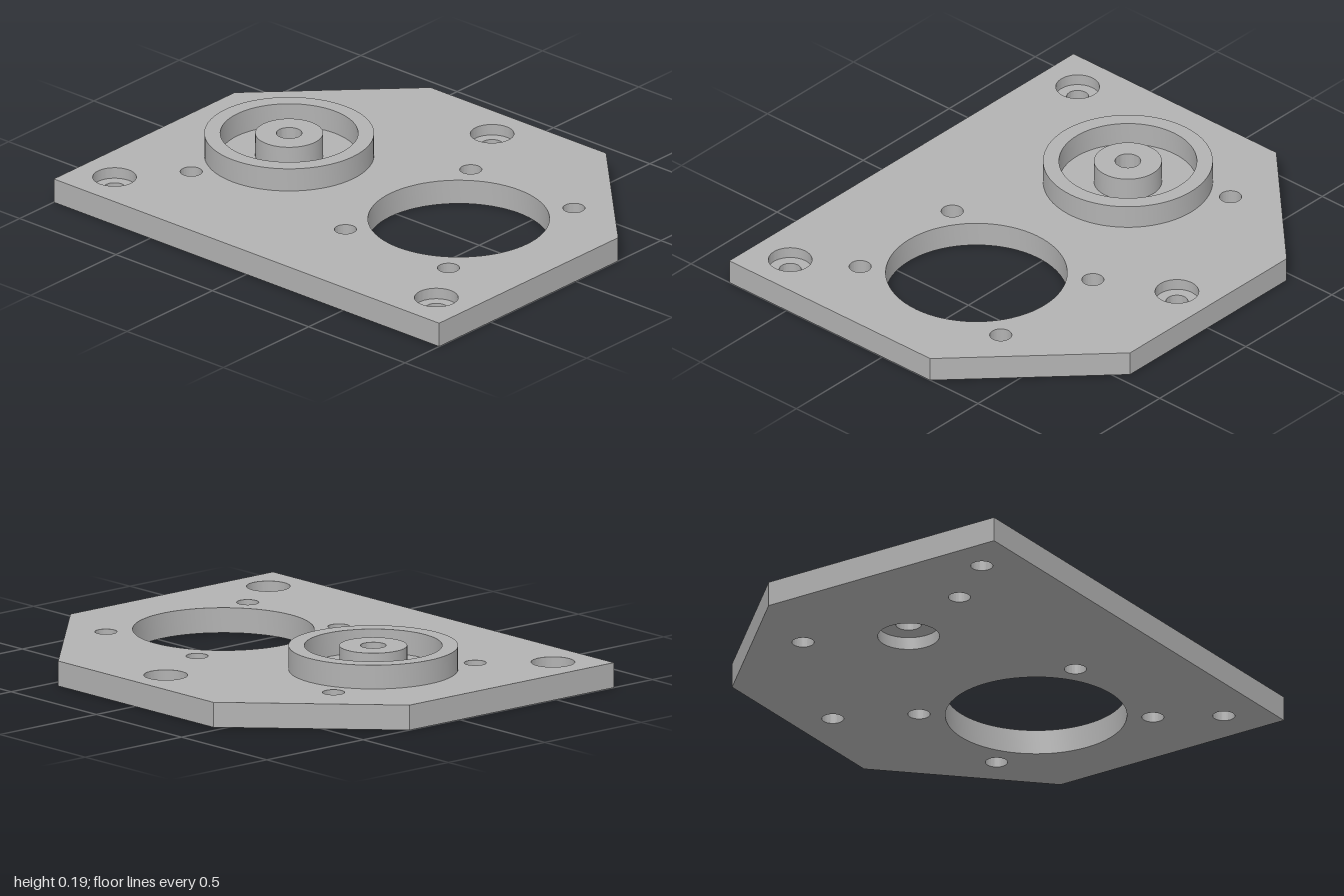
import * as THREE from 'three';
import { toCreasedNormals } from 'three/addons/utils/BufferGeometryUtils.js';

const THICK = 0.1;      // plate thickness
const TOP = 0.195;      // top of the bearing hub
const HUB = { x: -0.46, z: 0.03, r: 0.33 };
const BORES = [[0, -0.64], [-0.835, 0.63], [0.835, 0.63]];
const BORE_R = 0.085;
const HOLE_R = 0.043;

export function createModel() {
  const group = new THREE.Group();
  const metal = new THREE.MeshStandardMaterial({ color: 0xb2b2b2 });
  metal.name = 'plain grey';

  const add = (name, geometry, x = 0, z = 0) => {
    const mesh = new THREE.Mesh(toCreasedNormals(geometry, 0.6), metal);
    mesh.name = name;
    mesh.position.set(x, 0, z);
    group.add(mesh);
  };

  // Closed [radius, height] profile turned around the vertical axis
  const turned = (profile) => new THREE.LatheGeometry(
    [...profile, profile[0]].map(([r, y]) => new THREE.Vector2(r, y)), 72);

  // Base plate: square front, chamfered back corners, through holes
  const outline = [[-1, 0.8], [1, 0.8], [1, -0.25], [0.45, -0.8], [-0.46, -0.8], [-1, -0.26]];
  const shape = new THREE.Shape(outline.map(([x, z]) => new THREE.Vector2(x, -z)));
  const cut = (x, z, r) =>
    shape.holes.push(new THREE.Path().absarc(x, -z, r, 0, Math.PI * 2, true));

  cut(0.42, 0.03, 0.353);
  cut(HUB.x, HUB.z, HUB.r);
  for (const x of [-0.645, 0.155, 0.69]) {
    for (const z of [-0.34, 0.395]) cut(x, z, HOLE_R);
  }
  for (const [x, z] of BORES) cut(x, z, BORE_R);

  const plate = new THREE.ExtrudeGeometry(shape, { depth: THICK, bevelEnabled: false, curveSegments: 36 });
  plate.rotateX(-Math.PI / 2);
  add('basePlate', plate);

  // Stepped seats that narrow each counterbore to its screw hole
  for (const [x, z] of BORES) {
    add('counterboreSeat', turned([
      [HOLE_R, 0], [BORE_R, 0], [BORE_R, 0.055], [HOLE_R, 0.055],
    ]), x, z);
  }

  // Hub: raised rim, groove, centre boss with bore, and a pocket underneath
  add('bearingHub', turned([
    [0.12, 0], [HUB.r, 0], [HUB.r, TOP], [0.268, TOP], [0.268, THICK],
    [0.132, THICK], [0.132, TOP], [0.05, TOP], [0.05, 0.05], [0.12, 0.05],
  ]), HUB.x, HUB.z);

  return group;
}
